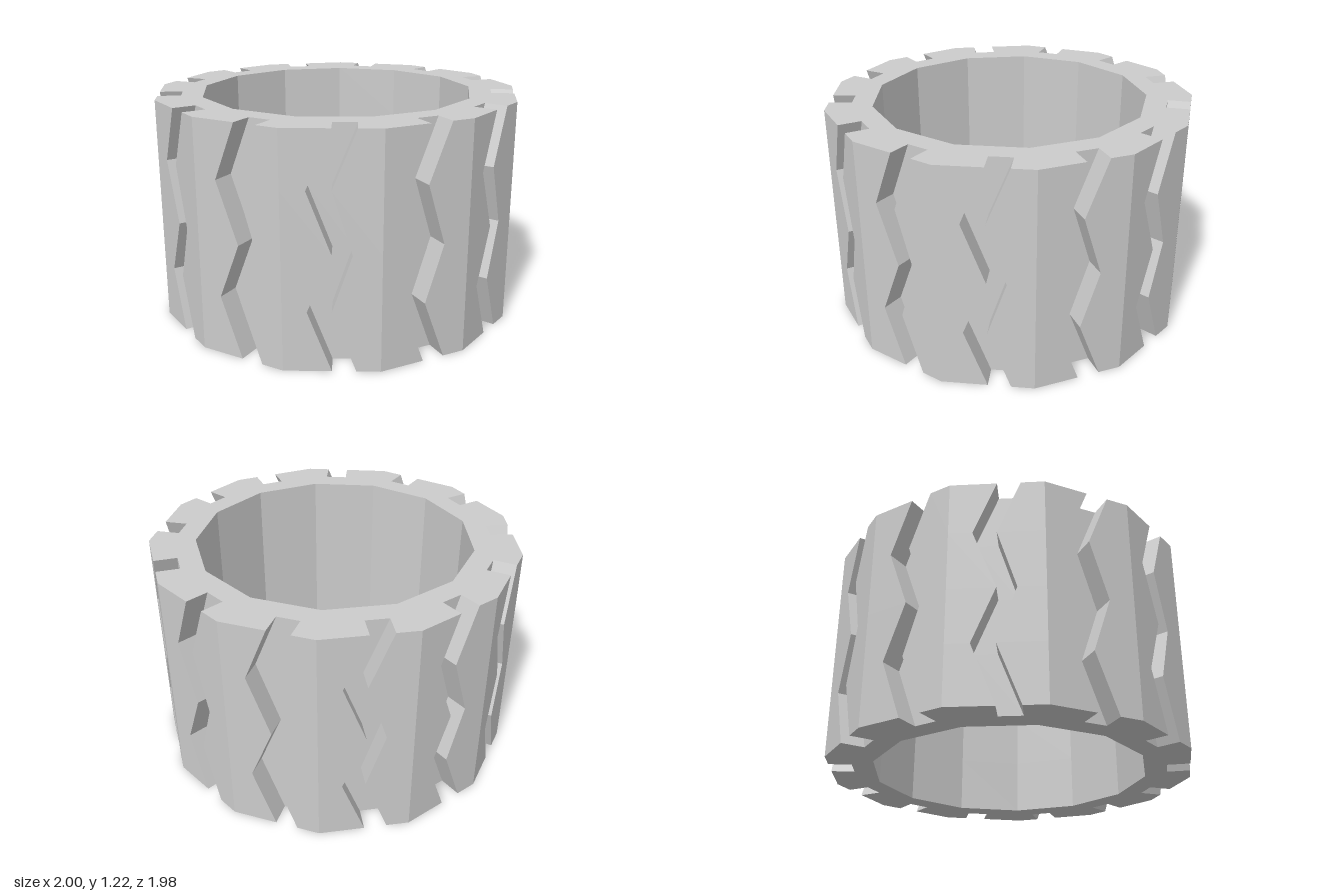
import * as THREE from 'three';

const SIDES = 13, STEP = (Math.PI * 2) / SIDES;
const R_OUT = 1.007, R_IN = 0.755, FLOOR = 0.853, WIDTH = 0.12;
const LEVELS = [0, 0.315, 0.61, 0.925, 1.22];
// sideways shift of the two groove edges at each level
const SHIFT_LEFT = [0, -0.12, 0, -0.12, 0];
const SHIFT_RIGHT = [0, -0.12, -0.02, -0.12, 0];

// place a point given across (u) and outward (r) from the centre of facet k
function facetPoint(k, u, r) {
  const c = Math.cos(k * STEP), s = Math.sin(k * STEP);
  return { x: u * c + r * s, z: r * c - u * s };
}

function createTreadGeometry() {
  const face = R_OUT * Math.cos(STEP / 2), half = R_OUT * Math.sin(STEP / 2);
  const outer = [], inner = [];
  for (let k = 0; k < SIDES; k++) {
    // facet corner, then the notch of one groove
    const profile = [[-half, face], [0, face], [0, FLOOR], [WIDTH, FLOOR], [WIDTH, face]];
    for (const [u, r] of profile) {
      const p = facetPoint(k, u, r);
      outer.push(new THREE.Vector2(p.x, -p.z));
    }
    const q = facetPoint(k - 0.5, 0, R_IN);
    inner.push(new THREE.Vector2(q.x, -q.z));
  }
  const shape = new THREE.Shape(outer);
  shape.holes.push(new THREE.Path(inner));
  const geo = new THREE.ExtrudeGeometry(shape, { depth: 1, steps: 4, bevelEnabled: false });
  geo.rotateX(-Math.PI / 2);

  // set the level heights and bend the grooves into zigzags
  const pos = geo.attributes.position;
  for (let i = 0; i < pos.count; i++) {
    const x = pos.getX(i), z = pos.getZ(i);
    const level = Math.round(pos.getY(i) * 4);
    const k = Math.round(Math.atan2(x, z) / STEP);
    const c = Math.cos(k * STEP), s = Math.sin(k * STEP);
    const u = x * c - z * s, r = x * s + z * c;
    let p = { x, z };
    if (r > 0.8 && Math.abs(u) < 0.2) {
      const shift = u < WIDTH / 2 ? SHIFT_LEFT : SHIFT_RIGHT;
      p = facetPoint(k, u + shift[level], r);
    }
    pos.setXYZ(i, p.x, LEVELS[level], p.z);
  }
  geo.translate(0, 0, (R_OUT - face) / 2);
  geo.computeVertexNormals();
  return geo;
}

export function createModel() {
  const group = new THREE.Group();
  group.name = 'tire';
  const material = new THREE.MeshStandardMaterial({ color: 0xcccccc, flatShading: true });
  const tread = new THREE.Mesh(createTreadGeometry(), material);
  tread.name = 'groovedTreadRing';
  group.add(tread);
  return group;
}
